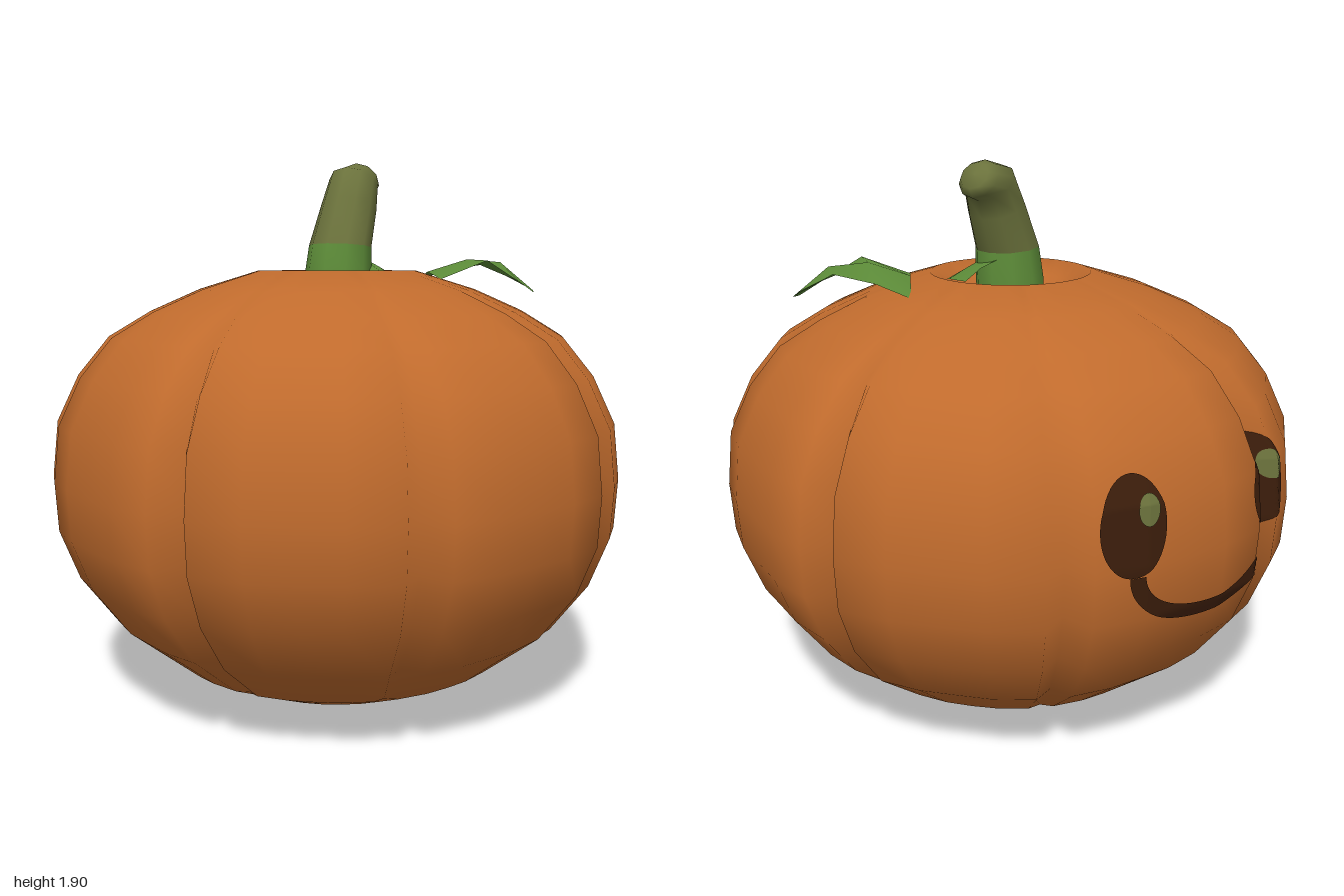
import * as THREE from 'three';

const DEG = Math.PI / 180;
const V = (x, y, z) => new THREE.Vector3(x, y, z);

function material(name, color, side = THREE.FrontSide) {
  const m = new THREE.MeshStandardMaterial({ color, side });
  m.name = name;
  return m;
}

// Smooth skin over rows of points; closed joins the last column to the first.
function skin(rows, closed = false) {
  const n = rows[0].length, pos = [], idx = [];
  rows.flat().forEach(p => pos.push(p.x, p.y, p.z));
  for (let i = 0; i < rows.length - 1; i++) {
    for (let j = 0; j < (closed ? n : n - 1); j++) {
      const a = i * n + j, b = i * n + (j + 1) % n;
      idx.push(a, a + n, b + n, a, b + n, b);
    }
  }
  const g = new THREE.BufferGeometry();
  g.setAttribute('position', new THREE.Float32BufferAttribute(pos, 3));
  g.setIndex(idx);
  g.computeVertexNormals();
  return g;
}

// Body outline, bottom to top, with a dimple at each pole
const PROFILE = [
  [0, 0.06], [0.12, 0.05], [0.21, 0.0], [0.42, 0.06], [0.6, 0.14], [0.8, 0.3],
  [0.925, 0.47], [0.99, 0.64], [1.0, 0.81], [0.98, 1.0], [0.905, 1.16], [0.8, 1.29],
  [0.66, 1.375], [0.49, 1.45], [0.28, 1.515], [0.23, 1.465], [0.15, 1.395], [0, 1.38],
];

// Eight lobes: column offsets in degrees and how far each column stands in or out
const LOBE = [0, 4, 14, 22.5, 31, 41];
const SWELL = [-0.085, 0.008, 0, -0.012, 0, 0.008];
const COLUMNS = [];
for (let k = 0; k < 8; k++) {
  LOBE.forEach((o, i) => COLUMNS.push({ angle: (28 + 45 * k + o) * DEG, swell: SWELL[i] }));
}

// The ribs fade out toward the poles
function bodyPoint(row, col) {
  const [r, y] = PROFILE[row];
  const { angle, swell } = COLUMNS[col % COLUMNS.length];
  const R = r * (1 + swell * THREE.MathUtils.smoothstep(r, 0.35, 0.98));
  return V(R * Math.cos(angle), y, R * Math.sin(angle));
}

// Point lying just above the body; azimuth in degrees from the back toward +x
function onBody(azimuth, y, lift) {
  const a = (((azimuth - 90 - 28) % 360) + 360) % 360;
  const lobe = Math.floor(a / 45), o = a - lobe * 45;
  let c = LOBE.length - 1;
  while (LOBE[c] > o) c--;
  const next = c + 1 < LOBE.length ? LOBE[c + 1] : 45;
  const s = (o - LOBE[c]) / (next - LOBE[c]);
  let row = 3;
  while (PROFILE[row + 1][1] < y) row++;
  const t = (y - PROFILE[row][1]) / (PROFILE[row + 1][1] - PROFILE[row][1]);
  const col = lobe * LOBE.length + c;
  const low = bodyPoint(row, col).lerp(bodyPoint(row, col + 1), s);
  const p = low.lerp(bodyPoint(row + 1, col).lerp(bodyPoint(row + 1, col + 1), s), t);
  const k = 1 + lift / Math.hypot(p.x, p.z);
  return V(p.x * k, p.y, p.z * k);
}

// Painted oval following the body
function oval(az, y, halfAz, halfY, lift) {
  const rows = [];
  for (let i = 0; i <= 14; i++) {
    const row = [];
    for (let j = 0; j < 48; j++) {
      const t = -j / 48 * Math.PI * 2, s = i / 14;
      row.push(onBody(az + Math.cos(t) * halfAz * s, y + Math.sin(t) * halfY * s, lift));
    }
    rows.push(row);
  }
  return skin(rows, true);
}

// Painted smile: the lower half of an elliptical band
function smile(az, y, halfAz, drop, half, lift) {
  const rows = [];
  for (let i = 0; i <= 4; i++) {
    const d = half * (1 - i / 2), row = [];
    for (let j = 0; j <= 60; j++) {
      const t = Math.PI * (1 + j / 60);
      row.push(onBody(az + Math.cos(t) * (halfAz + d / DEG), y + Math.sin(t) * (drop + d), lift));
    }
    rows.push(row);
  }
  return skin(rows);
}

// Stem cross-section, tilted by lean toward the direction the stem bends
function stemRing([x, y, z, r, lean]) {
  const head = V(0.92, 0, -0.39), side = V(0.39, 0, 0.92);
  const across = head.multiplyScalar(Math.cos(lean)).add(V(0, -Math.sin(lean), 0));
  return Array.from({ length: 10 }, (_, i) => {
    const a = i / 10 * Math.PI * 2;
    return V(x, y, z).addScaledVector(across, r * Math.cos(a)).addScaledVector(side, r * Math.sin(a));
  });
}

export function createModel() {
  const orange = material('pumpkin orange', 0xc06b2d);
  const green = material('leaf green', 0x5f8f3a, THREE.DoubleSide);
  const olive = material('stem olive', 0x6b723c);
  const dark = material('dark brown', 0x3b1d0b);

  const model = new THREE.Group();
  model.name = 'pumpkin';
  const add = (name, geometry, mat, parent = model) => {
    const mesh = new THREE.Mesh(geometry, mat);
    mesh.name = name;
    parent.add(mesh);
  };

  // Ribbed body
  add('body', skin(PROFILE.map((_, i) => COLUMNS.map((_, j) => bodyPoint(i, j))), true), orange);

  // Bent stem with a green foot
  const neck = [0.015, 1.6, 0, 0.112, 0.08];
  add('stemBase', skin([[0, 1.36, 0, 0.12, 0], [0.005, 1.5, 0, 0.12, 0], neck].map(stemRing), true), green);
  add('stem', skin([
    neck, [0.07, 1.74, -0.012, 0.1, 0.35], [0.115, 1.825, -0.035, 0.09, 0.65],
    [0.185, 1.843, -0.07, 0.072, 0.95], [0.21, 1.856, -0.08, 0.05, 0.95], [0.213, 1.858, -0.081, 0, 0.95],
  ].map(stemRing), true), olive);

  // Leaf stalk flaring from the stem, and the curled leaf on the shoulder
  add('leafStalk', skin([
    [V(0.1, 1.57, -0.06), V(0.09, 1.56, 0.04), V(0.04, 1.5, 0.1)],
    [V(0.18, 1.55, -0.07), V(0.16, 1.53, 0.05), V(0.09, 1.5, 0.15)],
    [V(0.25, 1.515, -0.08), V(0.22, 1.5, 0.06), V(0.13, 1.47, 0.2)],
  ]), green);
  add('leaf', skin([
    [V(0.42, 1.467, -0.01), V(0.32, 1.51, 0.145), V(0.22, 1.485, 0.3)],
    [V(0.51, 1.515, 0.06), V(0.43, 1.555, 0.24), V(0.37, 1.55, 0.385)],
    [V(0.6, 1.54, 0.18), V(0.55, 1.545, 0.3), V(0.51, 1.475, 0.42)],
    [V(0.65, 1.47, 0.32), V(0.65, 1.44, 0.38), V(0.61, 1.435, 0.41)],
  ]), green);

  // Painted face on the back
  const face = new THREE.Group();
  face.name = 'face';
  model.add(face);
  for (const [side, az] of [['left', 16.8], ['right', -17.6]]) {
    add(side + 'Eye', oval(az, 0.937, 6.4, 0.152, 0.006), dark, face);
    add(side + 'EyeSpot', oval(az - 2.8, 0.985, 2.1, 0.048, 0.0095), olive, face);
  }
  add('mouth', smile(0.2, 0.785, 16, 0.168, 0.026, 0.006), dark, face);

  return model;
}
